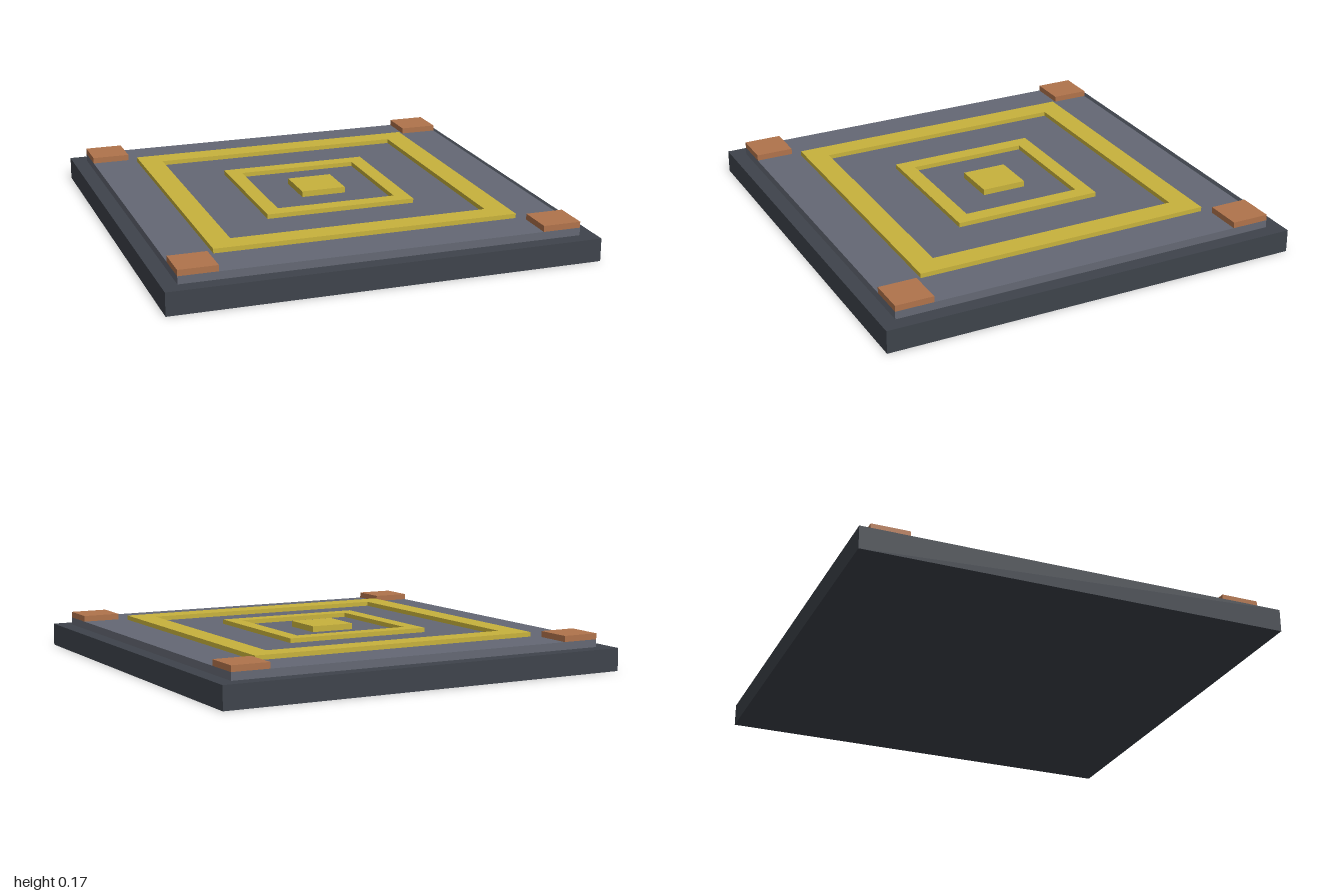
import * as THREE from 'three';

export function createModel() {
  const model = new THREE.Group();
  model.name = 'squarePad';

  const paint = (name, color) => {
    const m = new THREE.MeshStandardMaterial({ color });
    m.name = name;
    return m;
  };
  const darkSteel = paint('dark steel', 0x3e434b);
  const greySteel = paint('grey steel', 0x646874);
  const yellow = paint('yellow marking', 0xc8b23c);
  const copper = paint('copper', 0xb0734b);

  const add = (name, geometry, material, x, y, z) => {
    const mesh = new THREE.Mesh(geometry, material);
    mesh.name = name;
    mesh.position.set(x, y, z);
    model.add(mesh);
  };

  // Square block standing on height y0
  const block = (name, size, y0, y1, material, x = 0, z = 0) =>
    add(name, new THREE.BoxGeometry(size, y1 - y0, size), material, x, (y0 + y1) / 2, z);

  // Square frame with a square opening, given as half sizes
  const square = (path, h) =>
    path.moveTo(-h, -h).lineTo(h, -h).lineTo(h, h).lineTo(-h, h).closePath();
  const frame = (name, outer, inner, y0, y1, material) => {
    const shape = square(new THREE.Shape(), outer);
    shape.holes.push(square(new THREE.Path(), inner));
    const geometry = new THREE.ExtrudeGeometry(shape, { depth: y1 - y0, bevelEnabled: false });
    geometry.rotateX(-Math.PI / 2);
    add(name, geometry, material, 0, y0, 0);
  };

  // Stepped slab
  const deck = 0.143;
  block('base', 2, 0, 0.107, darkSteel);
  block('deckPlate', 1.857, 0.107, deck, greySteel);

  // Concentric markings
  frame('outerFrame', 0.714, 0.607, deck, 0.164, yellow);
  frame('innerFrame', 0.357, 0.286, deck, 0.164, yellow);
  block('centrePlate', 0.214, deck, 0.171, yellow);

  // Corner blocks
  for (const x of [-1, 1]) {
    for (const z of [-1, 1]) {
      block('cornerBlock', 0.179, deck, 0.171, copper, x * 0.839, z * 0.839);
    }
  }
  return model;
}
